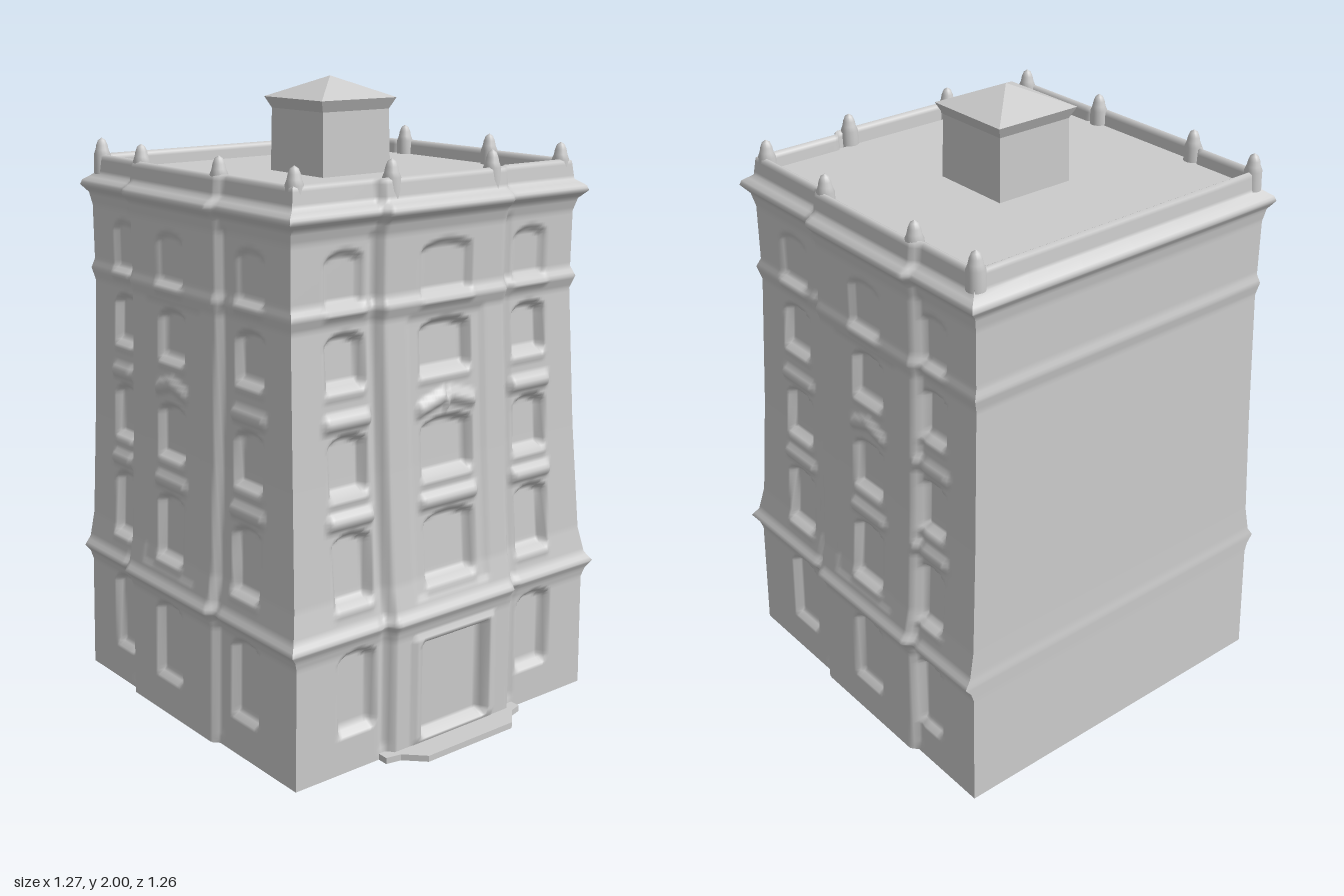
import * as THREE from 'three';

const material = new THREE.MeshStandardMaterial({ color: 0xcccccc });

// Wall profile from ground, over the parapet rim and down to the roof deck:
// [y, half width, front z, back z]
const PROFILE = [
  [0, 0.595, 0.53, -0.63], [0.38, 0.588, 0.53, -0.622], [0.41, 0.598, 0.537, -0.622],
  [0.435, 0.618, 0.55, -0.622], [0.465, 0.598, 0.53, -0.618], [0.55, 0.582, 0.513, -0.614],
  [0.9, 0.565, 0.488, -0.605], [1.345, 0.55, 0.465, -0.595], [1.385, 0.56, 0.48, -0.602],
  [1.415, 0.55, 0.465, -0.595], [1.59, 0.55, 0.467, -0.595], [1.63, 0.558, 0.48, -0.602],
  [1.655, 0.58, 0.505, -0.618], [1.67, 0.575, 0.5, -0.612], [1.69, 0.547, 0.472, -0.585],
  [1.745, 0.54, 0.465, -0.58], [1.752, 0.53, 0.457, -0.572], [1.745, 0.518, 0.445, -0.56],
  [1.69, 0.515, 0.44, -0.557],
];
const FLOORS = [[0.13, 0.37], [0.53, 0.725], [0.86, 1.015], [1.17, 1.31], [1.405, 1.545]];
const FRONT = { centre: 0, half: 0.25, door: true, windows: [[-0.365, 0.065], [0, 0.095], [0.365, 0.065]] };
const SIDE = { centre: -0.105, half: 0.24, door: false, windows: [[0.275, 0.065], [-0.115, 0.068], [-0.41, 0.055]] };

const lerp = THREE.MathUtils.lerp;

// Soft-edged band: 1 between a and b, falling to 0 over distance e outside
function band(v, a, b, e) {
  return THREE.MathUtils.smoothstep(v, a - e, a) * (1 - THREE.MathUtils.smoothstep(v, b, b + e));
}

// Outward relief of a facade: projecting bay, recessed windows, hoods and sills
function relief(f, u, y) {
  const c = f.centre, off = Math.abs(u - c);
  let d = 0.024 * band(off, -1, f.half - 0.015, 0.02);
  d -= 0.007 * band(off, f.half + 0.012, f.half + 0.02, 0.015) * band(y, 0.05, 1.58, 0.03);
  d -= 0.007 * band(off, -1, 0.14, 0.015) * band(y, 0.5, 1.33, 0.02);
  f.windows.forEach(([wc, hw], i) => {
    FLOORS.forEach(([y0, y1], k) => {
      if (f.door && i === 1 && k === 0) return;
      const arch = 0.02 * ((u - wc) / hw) ** 2;
      const depth = k === 4 ? 0.018 : 0.03;
      d -= depth * band(u, wc - hw + 0.008, wc + hw - 0.008, 0.014) * band(y, y0 + 0.006, y1 - arch, 0.016);
      if (k === 1 || k === 2) {
        const drop = i === 1 && k === 2 ? 0.3 * Math.abs(u - wc) : 0;
        const hood = y1 + 0.055 + (drop ? 0.025 : 0) - drop;
        d += 0.018 * band(u, wc - hw - 0.01, wc + hw + 0.01, 0.016) * band(y, hood - 0.008, hood + 0.008, 0.022);
      }
      if (k > 0) d += 0.007 * band(u, wc - hw, wc + hw, 0.015) * band(y, y0 - 0.026, y0 - 0.018, 0.012);
    });
  });
  if (f.door) {
    d += 0.01 * band(u, -0.16, 0.16, 0.01) * band(y, 0.03, 0.37, 0.01);
    d -= 0.04 * band(u, -0.125, 0.125, 0.01) * band(y, 0.045, 0.345, 0.01);
  }
  return d;
}

// Profile subdivided into closely spaced rows
function profileRows(step) {
  const rows = [PROFILE[0]];
  for (let i = 1; i < PROFILE.length; i++) {
    const a = PROFILE[i - 1], b = PROFILE[i];
    const n = Math.max(1, Math.ceil(Math.abs(b[0] - a[0]) / step));
    for (let k = 1; k <= n; k++) rows.push(a.map((v, j) => lerp(v, b[j], k / n)));
  }
  return rows;
}

// Grid surface; place(row, t) returns a point, t running left to right seen from outside
function wall(name, columns, place) {
  const rows = profileRows(0.012), pos = [], index = [], w = columns + 1;
  rows.forEach((row, j) => {
    for (let i = 0; i <= columns; i++) {
      pos.push(...place(row, i / columns));
      if (i < columns && j < rows.length - 1) {
        const a = j * w + i;
        index.push(a, a + 1, a + w + 1, a, a + w + 1, a + w);
      }
    }
  });
  const g = new THREE.BufferGeometry();
  g.setAttribute('position', new THREE.Float32BufferAttribute(pos, 3));
  g.setIndex(index);
  g.computeVertexNormals();
  return part(name, g);
}

function part(name, geometry, x = 0, y = 0, z = 0) {
  const m = new THREE.Mesh(geometry, material);
  m.name = name;
  m.position.set(x, y, z);
  return m;
}

export function createModel() {
  const model = new THREE.Group();
  model.name = 'building';

  // Four walls with cornices and parapet
  model.add(wall('frontWall', 110, ([y, hx, zf], t) => {
    const x = lerp(-hx, hx, t);
    return [x, y, zf + relief(FRONT, x, y)];
  }));
  model.add(wall('leftWall', 100, ([y, hx, zf, zb], t) => {
    const z = lerp(zf, zb, t);
    return [hx + relief(SIDE, z, y) * 0.8, y, z];
  }));
  model.add(wall('rightWall', 100, ([y, hx, zf, zb], t) => {
    const z = lerp(zb, zf, t);
    return [-hx - relief(SIDE, z, y) * 0.8, y, z];
  }));
  model.add(wall('backWall', 6, ([y, hx, , zb], t) => [lerp(hx, -hx, t), y, zb]));

  // Roof deck and underside
  model.add(part('roofDeck', new THREE.PlaneGeometry(1.06, 1.02).rotateX(-Math.PI / 2), 0, 1.705, -0.058));
  model.add(part('underside', new THREE.PlaneGeometry(1.19, 1.16).rotateX(Math.PI / 2), 0, 0, -0.05));

  // Entrance step, narrowing towards the front
  const plan = new THREE.Shape([[-0.28, -0.4], [0.28, -0.4], [0.28, -0.565], [0.24, -0.575], [0.18, -0.635],
    [-0.17, -0.635], [-0.23, -0.575], [-0.28, -0.565]].map(([x, y]) => new THREE.Vector2(x, y)));
  const step = new THREE.ExtrudeGeometry(plan, { depth: 0.02, bevelEnabled: false }).rotateX(-Math.PI / 2);
  model.add(part('entranceStep', step));

  // Pointed posts along the parapet
  const post = new THREE.LatheGeometry([[0.028, 0], [0.027, 0.06], [0.021, 0.075], [0.018, 0.09], [0.012, 0.105], [0, 0.113]]
    .map(([r, y]) => new THREE.Vector2(r, y)), 14);
  for (const s of [-1, 1]) {
    for (const [x, z] of [[0.515, 0.44], [0.195, 0.468], [0.532, 0.105], [0.532, -0.315], [0.525, -0.565]]) {
      model.add(part('parapetPost', post, s * x, 1.69, z));
    }
  }

  // Rooftop hut: square shaft flaring into a low pyramid cap
  const hut = new THREE.Group();
  hut.name = 'roofHut';
  hut.position.set(0.005, 0, -0.065);
  const square = (r0, r1, h, open) =>
    new THREE.CylinderGeometry(r1 * Math.SQRT2, r0 * Math.SQRT2, h, 4, 1, open).rotateY(Math.PI / 4).toNonIndexed();
  const layers = [['hutShaft', 0.134, 0.13, 1.69, 1.9], ['hutEaves', 0.13, 0.147, 1.9, 1.935], ['hutRoof', 0.147, 0, 1.935, 2]];
  for (const [name, r0, r1, y0, y1] of layers) {
    const g = square(r0, r1, y1 - y0, true);
    g.computeVertexNormals();
    hut.add(part(name, g, 0, (y0 + y1) / 2, 0));
  }
  model.add(hut);
  return model;
}
